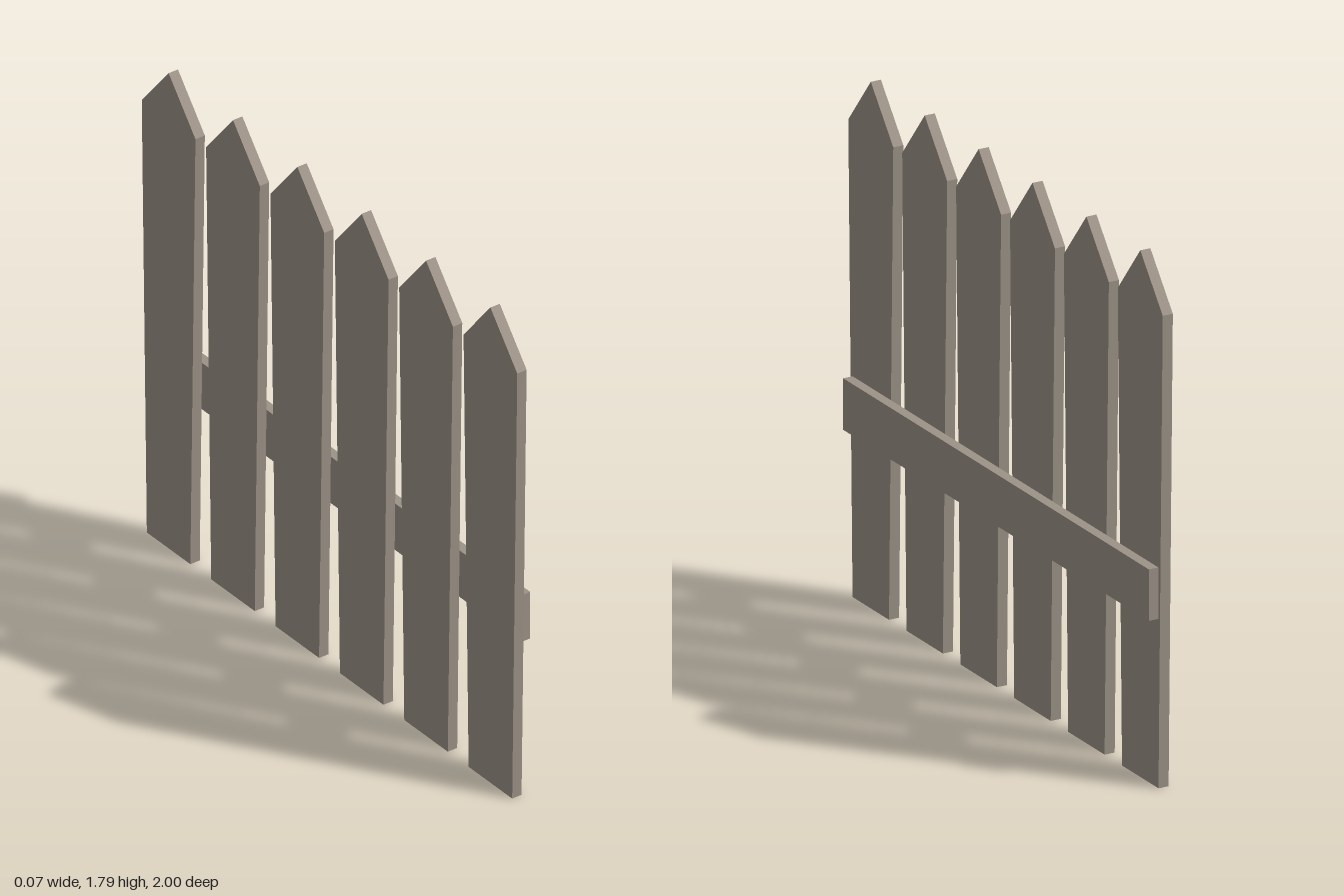
import * as THREE from 'three';

export function createModel() {
  const group = new THREE.Group();
  group.name = 'picketFence';
  const wood = new THREE.MeshStandardMaterial({ color: 0x9c9287 });
  wood.name = 'weathered wood';

  // Picket: board that widens upward and ends in a point
  const thickness = 0.037;
  const outline = new THREE.Shape([
    [-0.116, 0], [0.116, 0], [0.143, 1.615], [0, 1.79], [-0.143, 1.615],
  ].map(([x, y]) => new THREE.Vector2(x, y)));
  const picketGeometry = new THREE.ExtrudeGeometry(outline, { depth: thickness, bevelEnabled: false });
  picketGeometry.rotateY(Math.PI / 2);
  picketGeometry.translate(-thickness, 0, 0);

  // Row of six pickets along z
  const count = 6, spacing = 0.3428;
  for (let i = 0; i < count; i++) {
    const picket = new THREE.Mesh(picketGeometry, wood);
    picket.name = `picket${i + 1}`;
    picket.position.z = (i - (count - 1) / 2) * spacing;
    group.add(picket);
  }

  // Cross rail on the right-hand face
  const rail = new THREE.Mesh(new THREE.BoxGeometry(0.035, 0.175, 1.944), wood);
  rail.name = 'crossRail';
  rail.position.set(0.0175, 0.663, 0);
  group.add(rail);

  return group;
}
